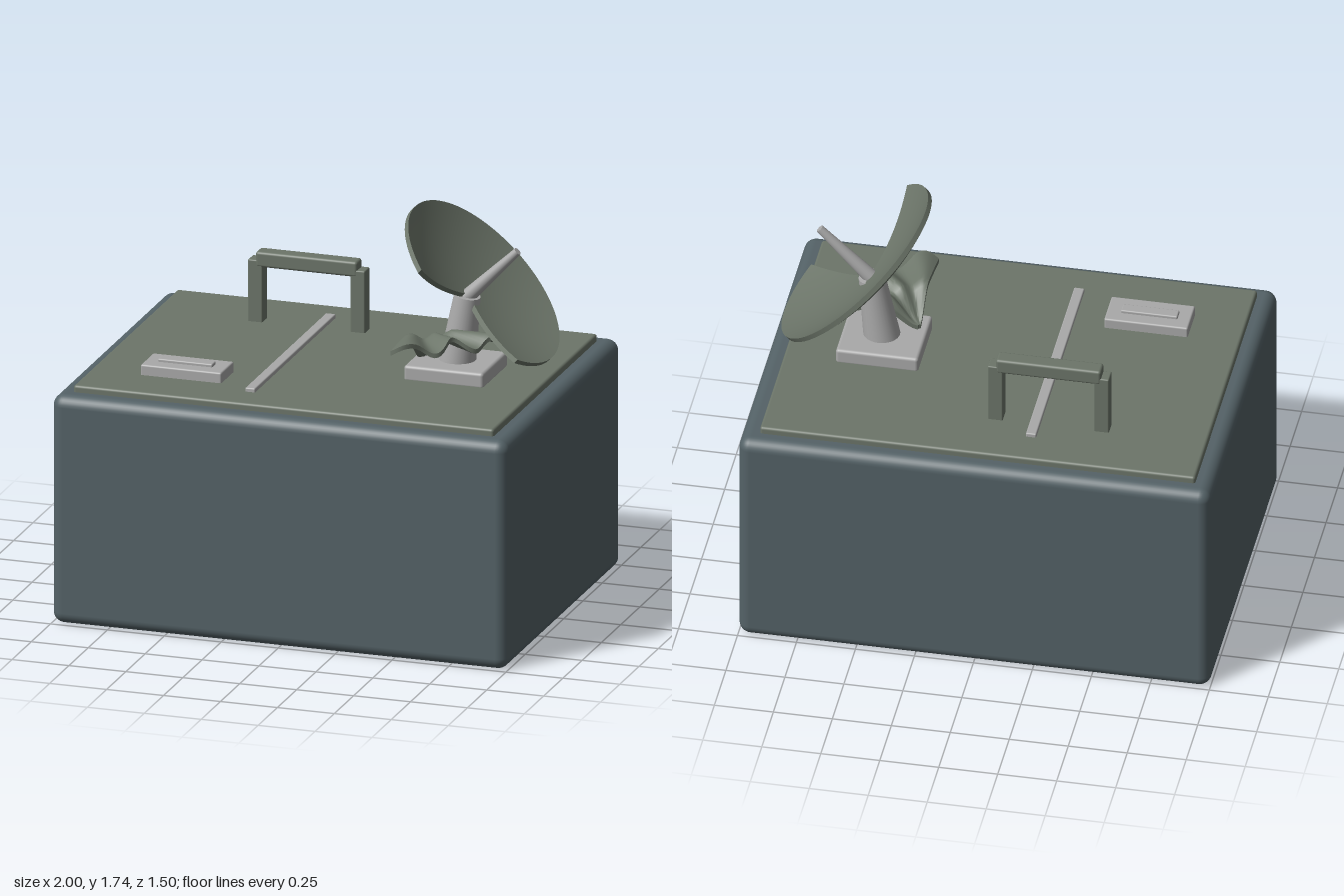
import * as THREE from 'three';
import { RoundedBoxGeometry } from 'three/addons/geometries/RoundedBoxGeometry.js';
import { toCreasedNormals } from 'three/addons/utils/BufferGeometryUtils.js';

const mat = (name, color) => {
  const m = new THREE.MeshStandardMaterial({ color });
  m.name = name;
  return m;
};

// Closed sheet between an upper (s = 0) and lower (s = 1) surface of f(u, v, s)
function slab(f, nu, nv) {
  const pos = [];
  const quad = (a, b, c, d) => [a, b, c, a, c, d].forEach((p) => pos.push(p.x, p.y, p.z));
  const p = (i, j, s) => f(i / nu, j / nv, s);
  for (let i = 0; i < nu; i++) {
    for (let j = 0; j < nv; j++) {
      quad(p(i, j, 0), p(i, j + 1, 0), p(i + 1, j + 1, 0), p(i + 1, j, 0));
      quad(p(i, j, 1), p(i + 1, j, 1), p(i + 1, j + 1, 1), p(i, j + 1, 1));
    }
    // Radial edges
    quad(p(i, 0, 0), p(i + 1, 0, 0), p(i + 1, 0, 1), p(i, 0, 1));
    quad(p(i, nv, 0), p(i, nv, 1), p(i + 1, nv, 1), p(i + 1, nv, 0));
  }
  for (let j = 0; j < nv; j++) {
    // Outer rim and inner edge
    quad(p(nu, j, 0), p(nu, j + 1, 0), p(nu, j + 1, 1), p(nu, j, 1));
    quad(p(0, j, 0), p(0, j, 1), p(0, j + 1, 1), p(0, j + 1, 0));
  }
  const g = new THREE.BufferGeometry();
  g.setAttribute('position', new THREE.Float32BufferAttribute(pos, 3));
  return toCreasedNormals(g, 0.7);
}

export function createModel() {
  const root = new THREE.Group();
  root.name = 'dishCase';
  const slate = mat('slate blue grey', 0x546267);
  const green = mat('grey green', 0x6c7569);
  const grey = mat('light grey', 0xa9a9a9);

  const add = (name, geometry, material, parent = root) => {
    const m = new THREE.Mesh(geometry, material);
    m.name = name;
    parent.add(m);
    return m;
  };
  // Rounded box given by its ranges on each axis
  const box = (name, material, [x0, x1], [y0, y1], [z0, z1], r) => {
    const m = add(name, new RoundedBoxGeometry(x1 - x0, y1 - y0, z1 - z0, 4, r), material);
    m.position.set((x0 + x1) / 2, (y0 + y1) / 2, (z0 + z1) / 2);
    return m;
  };
  // Tapered rod between two points
  const rod = (name, material, a, b, ra, rb) => {
    const A = new THREE.Vector3(...a), B = new THREE.Vector3(...b);
    const d = B.clone().sub(A);
    const m = add(name, new THREE.CylinderGeometry(rb, ra, d.length(), 32), material);
    m.position.copy(A).addScaledVector(d, 0.5);
    m.quaternion.setFromUnitVectors(new THREE.Vector3(0, 1, 0), d.normalize());
    return m;
  };

  // Case and lid
  box('caseBody', slate, [-1, 1], [0, 1], [-0.75, 0.75], 0.05);
  box('lidPanel', green, [-0.925, 0.92], [0.98, 1.03], [-0.675, 0.675], 0.012);

  // Carrying handle
  for (const x of [-0.48, -0.03])
    box('handlePost', green, [x - 0.032, x + 0.032], [1.02, 1.3], [-0.433, -0.367], 0.006);
  box('handleBar', green, [-0.478, -0.032], [1.27, 1.337], [-0.435, -0.365], 0.012);

  // Latch and seam strip
  box('latchPlate', grey, [-0.705, -0.35], [1.02, 1.075], [0.29, 0.455], 0.008);
  box('latchGrip', grey, [-0.65, -0.41], [1.06, 1.088], [0.345, 0.395], 0.006);
  box('seamStrip', grey, [-0.222, -0.178], [1.02, 1.047], [-0.525, 0.525], 0.006);

  // Dish mount
  box('dishBase', grey, [0.35, 0.7], [1.02, 1.09], [-0.16, 0.16], 0.014);
  rod('dishMast', grey, [0.533, 1.07, 0], [0.577, 1.372, 0], 0.078, 0.056);

  // Tilted dish with a missing sector
  const dish = new THREE.Group();
  dish.name = 'dish';
  dish.position.set(0.586, 1.376, 0);
  dish.rotation.z = -Math.PI / 4;
  root.add(dish);
  const start = THREE.MathUtils.degToRad(30), sweep = THREE.MathUtils.degToRad(278);
  add('dishBowl', slab((u, v, s) => {
    const k = 0.02 + 0.98 * u, r = 0.424 * k, a = start + sweep * v;
    return new THREE.Vector3(-r * Math.sin(a), 0.09 * k * k - 0.022 * s, r * Math.cos(a));
  }, 14, 72), green, dish);
  rod('feedHorn', grey, [0.575, 1.365, 0], [0.798, 1.588, 0], 0.032, 0.017);

  // Crumpled torn sector hanging beside the mast
  add('tornFlap', slab((u, v, s) => {
    const k = 0.03 + 0.97 * u;
    const a = THREE.MathUtils.degToRad(-98 + 100 * v);
    const r = k * (0.33 + 0.045 * Math.cos(v * Math.PI * 2) * u + 0.014 * u * Math.sin(v * 22));
    const rise = 0.12 * THREE.MathUtils.smoothstep(k, 0, 0.5);
    const ripple = u * 0.026 * Math.sin(v * 17 + 4 + u * 1.5);
    return new THREE.Vector3(
      0.38 - r * Math.sin(a),
      1.115 + rise + ripple - 0.02 * u * (1 - v) - 0.02 * s,
      0.04 + r * Math.cos(a) * 0.9);
  }, 16, 36), green);

  return root;
}
